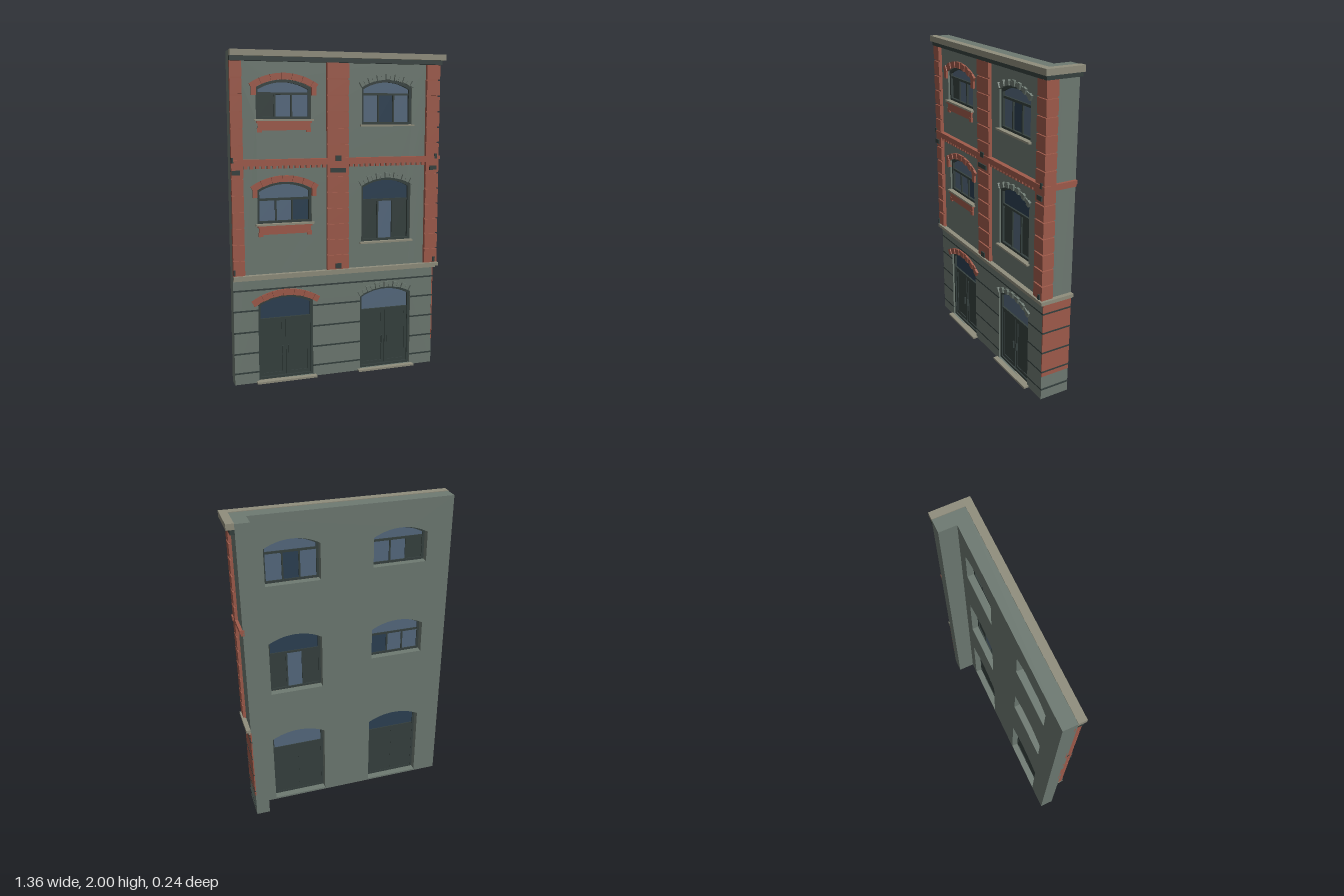
import * as THREE from 'three';

const mat = (name, color) => Object.assign(new THREE.MeshStandardMaterial({ color }), { name });

export function createModel() {
  const model = new THREE.Group();
  model.name = 'cornerFacade';
  const wall = mat('greyPlaster', 0x6e7a72);
  const brick = mat('redBrick', 0xa05b4b);
  const dark = mat('darkFrame', 0x36413f);
  const stone = mat('paleStone', 0x908e7d);
  const lightGlass = mat('lightGlass', 0x566a7f);
  const darkGlass = mat('darkGlass', 0x2c4053);

  const add = (name, geo, m, parent = model) => {
    const mesh = new THREE.Mesh(geo, m);
    mesh.name = name;
    parent.add(mesh);
    return mesh;
  };
  // Box given by its limits
  const box = (name, m, x0, x1, y0, y1, z0, z1, parent = model) => {
    const mesh = add(name, new THREE.BoxGeometry(x1 - x0, y1 - y0, z1 - z0), m, parent);
    mesh.position.set((x0 + x1) / 2, (y0 + y1) / 2, (z0 + z1) / 2);
    return mesh;
  };
  const extrude = (name, m, shape, z, depth, parent) => {
    const geo = new THREE.ExtrudeGeometry(shape, { depth, bevelEnabled: false, curveSegments: 12 });
    add(name, geo, m, parent).position.z = z;
  };
  const arc = (cx, hw, spring, top) => {
    const h = top - spring, r = (hw * hw + h * h) / (2 * h);
    return { cx, cy: top - r, r, a: Math.acos(hw / r) };
  };
  // Opening with a segmental arch on top
  const arched = (T, cx, hw, y0, spring, top) => {
    const c = arc(cx, hw, spring, top), s = new T();
    s.moveTo(cx - hw, y0);
    s.lineTo(cx + hw, y0);
    s.lineTo(cx + hw, spring);
    s.absarc(cx, c.cy, c.r, c.a, Math.PI - c.a, false);
    s.closePath();
    return s;
  };

  const FRONT = 0.072, BACK = -0.012, SIDE = 0.63, LEFT = -0.68, REAR = -0.12;
  const L = lightGlass, D = darkGlass, K = dark;
  const openings = [
    { name: 'upperLeftWindow', cx: -0.357, hw: 0.168, y0: 1.605, spring: 1.79, top: 1.835, bar: 1.755, head: L, panes: [K, L, L], red: true },
    { name: 'middleLeftWindow', cx: -0.357, hw: 0.168, y0: 0.985, spring: 1.19, top: 1.235, bar: 1.13, head: L, panes: [L, L, D], red: true },
    { name: 'upperRightWindow', cx: 0.3, hw: 0.166, y0: 1.57, spring: 1.797, top: 1.842, bar: 1.755, head: L, panes: [L, D, L] },
    { name: 'middleRightWindow', cx: 0.3, hw: 0.166, y0: 0.84, spring: 1.195, top: 1.24, bar: 1.1, head: D, panes: [K, L, K] },
    { name: 'leftDoor', cx: -0.357, hw: 0.173, y0: 0.012, spring: 0.495, top: 0.54, bar: 0.39, head: D, red: true, door: true },
    { name: 'rightDoor', cx: 0.302, hw: 0.173, y0: 0.012, spring: 0.495, top: 0.54, bar: 0.39, head: L, door: true },
  ];

  // Walls
  const face = new THREE.Shape([[LEFT, 0], [SIDE, 0], [SIDE, 1.996], [LEFT, 1.996]].map(p => new THREE.Vector2(...p)));
  for (const o of openings) face.holes.push(arched(THREE.Path, o.cx, o.hw, o.y0, o.spring, o.top));
  extrude('frontWall', wall, face, BACK, FRONT - BACK);
  box('returnWall', wall, 0.545, SIDE, 0, 1.996, REAR, BACK);

  // Windows and doors
  for (const o of openings) {
    const g = new THREE.Group();
    g.name = o.name;
    model.add(g);
    const { cx, hw, y0, spring, top, bar } = o, t = 0.015;
    const ring = arched(THREE.Shape, cx, hw, y0, spring, top);
    ring.holes.push(arched(THREE.Path, cx, hw - t, y0 + t, spring - t * 0.8, top - t));
    extrude('frame', dark, ring, 0.03, 0.03, g);
    extrude('headGlass', o.head, arched(THREE.Shape, cx, hw - 0.004, bar, spring - 0.002, top - 0.003), 0.036, 0.008, g);
    box('transom', dark, cx - hw, cx + hw, bar - 0.007, bar + 0.007, 0.031, 0.056, g);
    if (o.door) {
      for (const s of [-1, 1]) {
        const a = cx + s * 0.004, b = cx + s * (hw - t);
        const [x0, x1] = [Math.min(a, b), Math.max(a, b)];
        box('doorLeaf', dark, x0, x1, y0, bar, 0.032, 0.046, g);
        for (const [p, q] of [[x0, x0 + 0.018], [x1 - 0.018, x1]]) box('stile', dark, p, q, y0, bar, 0.046, 0.051, g);
        for (const y of [y0 + t, bar - 0.027]) box('rail', dark, x0, x1, y, y + 0.02, 0.046, 0.051, g);
        box('handle', dark, cx + s * 0.018 - 0.003, cx + s * 0.018 + 0.003, 0.165, 0.215, 0.051, 0.063, g);
      }
      box('meetingStrip', dark, cx - 0.004, cx + 0.004, y0, bar, 0.033, 0.042, g);
      box('doorStep', stone, cx - 0.19, cx + 0.19, 0, 0.012, 0.06, 0.105, g);
    } else {
      const w = (2 * hw - 2 * t) / 3;
      o.panes.forEach((m, i) => {
        const x = cx - hw + t + i * w;
        box('pane', m, x, x + w, y0 + t, bar, 0.036, 0.044, g);
        if (i) box('mullion', dark, x - 0.005, x + 0.005, y0 + t, bar, 0.031, 0.054, g);
      });
      box('sill', stone, cx - hw - 0.012, cx + hw + 0.012, y0 - 0.01, y0 + 0.001, 0.03, 0.092, g);
    }

    // Arch stones, alternating in size
    const c = arc(cx, hw, spring, top), n = 13, m = o.red ? brick : wall;
    const a0 = c.a - (o.red ? 0.07 : 0.02), step = (Math.PI - 2 * a0) / n;
    for (let i = 0; i < n; i++) {
      const a = a0 + (i + 0.5) * step, h = o.red ? 0.038 : 0.034 - (i % 2) * 0.01;
      const depth = i % 2 ? 0.018 : 0.024, r = c.r + h / 2 + 0.001;
      const stoneMesh = add('archStone', new THREE.BoxGeometry(step * c.r * (o.red ? 1.06 : 0.9), h, depth), m, g);
      stoneMesh.position.set(cx + r * Math.cos(a), c.cy + r * Math.sin(a), FRONT - 0.01 + depth / 2);
      stoneMesh.rotation.z = a - Math.PI / 2;
    }
    // Brick shoulders and apron
    if (o.red && !o.door) {
      for (const s of [-1, 1]) {
        const x = cx + s * (hw + 0.014);
        box('archShoulder', brick, x - 0.014, x + 0.014, spring - 0.045, spring + 0.012, FRONT - 0.01, 0.086, g);
        const e = cx + s * 0.15;
        box('apronFoot', brick, e - 0.014, e + 0.014, y0 - 0.076, y0 - 0.05, FRONT - 0.01, 0.084, g);
      }
      box('apron', brick, cx - 0.16, cx + 0.16, y0 - 0.064, y0 - 0.022, FRONT - 0.01, 0.082, g);
      box('apronTop', brick, cx - 0.168, cx + 0.168, y0 - 0.022, y0 - 0.01, FRONT - 0.01, 0.088, g);
    }
  }

  // Dark joints in the ground floor, broken by the doors
  for (const y of [0.07, 0.193, 0.325, 0.458, 0.585]) {
    const spans = y > 0.54 ? [[LEFT, SIDE]] : [[LEFT, -0.53], [-0.184, 0.129], [0.475, SIDE]];
    for (const [a, b] of spans) box('frontJoint', dark, a, b, y - 0.005, y + 0.005, FRONT - 0.004, FRONT + 0.002);
    box('sideJoint', dark, SIDE - 0.004, SIDE + 0.005, y - 0.005, y + 0.005, REAR, FRONT + 0.002);
  }
  box('sideBrickPanel', brick, SIDE - 0.004, SIDE + 0.003, 0.16, 0.655, REAR, FRONT + 0.001);

  // Banded brick pilasters
  const bands = 13, y0 = 0.68, bandH = (1.94 - y0) / bands;
  for (const [x0, x1, z0, corner] of [[LEFT, -0.61, 0.06, 0], [-0.095, 0.043, 0.06, 0], [0.56, 0.638, 0.02, 1]]) {
    box('pilasterCore', brick, x0, x1, y0, 1.94, z0, 0.086);
    for (let i = 0; i < bands; i++) {
      const y = y0 + i * bandH;
      box('pilasterBlock', brick, x0, x1 + corner * 0.01, y + 0.005, y + bandH - 0.005, z0, 0.096);
    }
  }

  // Brick belt with dentils
  for (const [ya, yb, out] of [[1.333, 1.35, 0], [1.35, 1.372, 0.008]]) {
    box('beltFront', brick, LEFT, 0.648 + out, ya, yb, 0.06, 0.094 + out);
    box('beltSide', brick, 0.62, 0.64 + out, ya, yb, REAR, 0.06);
  }
  for (const [a, b] of [[-0.61, -0.095], [0.043, 0.56]]) {
    const n = 15, s = (b - a) / n;
    for (let i = 0; i < n; i++) box('dentil', brick, a + (i + 0.2) * s, a + (i + 0.8) * s, 1.316, 1.334, 0.06, 0.09);
  }

  // Dark iron blocks on the pilasters
  for (const [a, b, c, d] of [
    [-0.045, -0.008, 1.354, 1.386], [-0.075, 0.022, 1.284, 1.311], [-0.045, -0.008, 0.688, 0.72],
    [LEFT, -0.632, 1.284, 1.311], [LEFT, -0.669, 1.354, 1.386], [LEFT, -0.669, 0.688, 0.72],
    [0.584, 0.632, 1.284, 1.311], [0.615, 0.632, 1.354, 1.386], [0.615, 0.632, 0.688, 0.72],
  ]) box('ironBlock', dark, a, b, c, d, 0.07, 0.104);

  // Ledge and cornice wrapping the corner
  for (const [name, m, ya, yb, x, z] of [
    ['ledgeLower', stone, 0.648, 0.66, 0.643, 0.09], ['ledge', stone, 0.66, 0.68, 0.657, 0.103],
    ['corniceBed', dark, 1.938, 1.965, 0.657, 0.104], ['cornice', stone, 1.965, 2, 0.677, 0.12],
  ]) {
    box(name + 'Front', m, LEFT, x, ya, yb, FRONT, z);
    box(name + 'Side', m, SIDE, x, ya, yb, REAR, FRONT);
  }
  return model;
}
